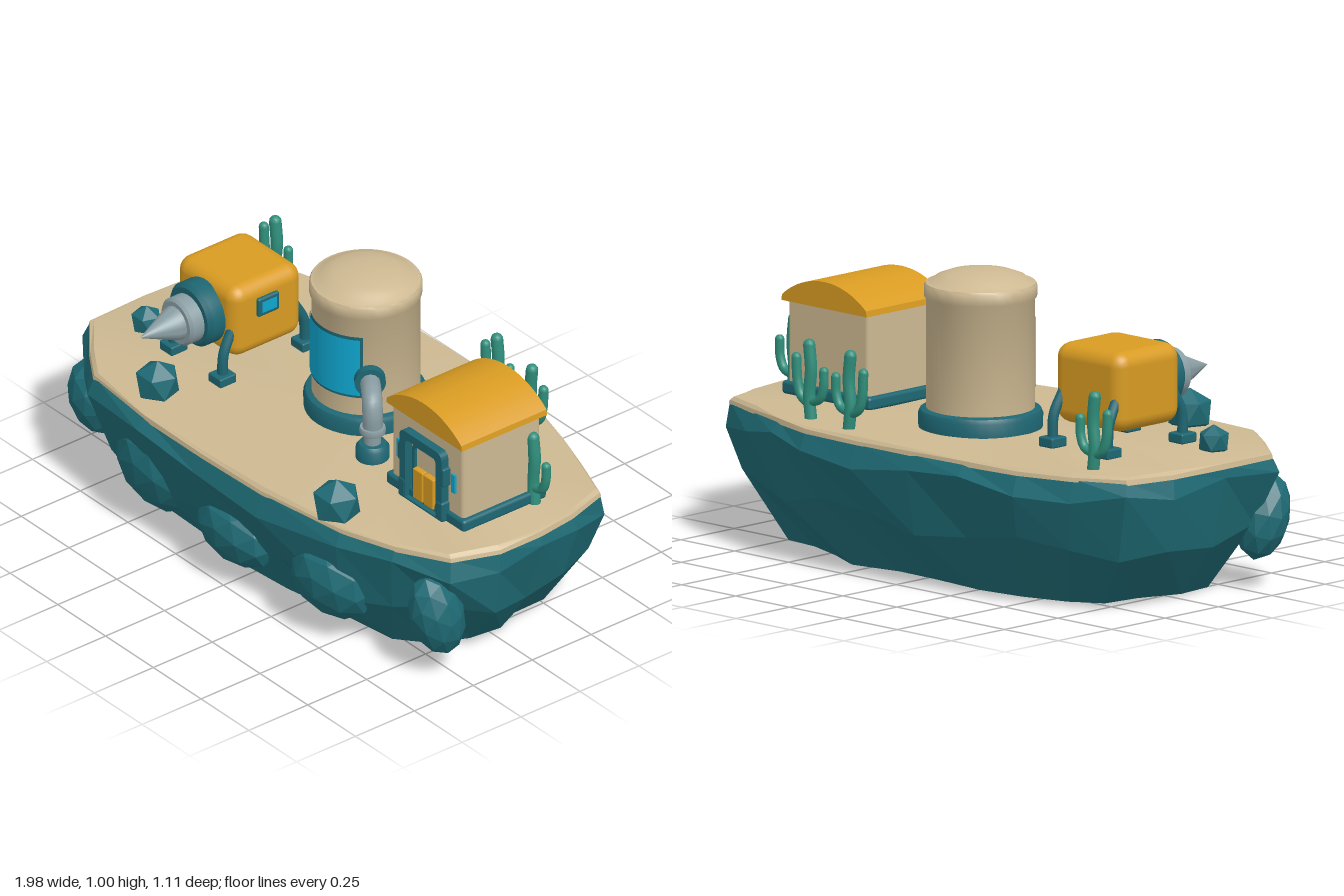
import * as THREE from 'three';
import { toCreasedNormals } from 'three/addons/utils/BufferGeometryUtils.js';
import { RoundedBoxGeometry } from 'three/addons/geometries/RoundedBoxGeometry.js';

const mat = (name, color, extra = {}) => Object.assign(new THREE.MeshStandardMaterial({ color, ...extra }), { name });

export function createModel() {
  const model = new THREE.Group();
  const rock = mat('rock teal', 0x1f6b75, { flatShading: true });
  const trim = mat('trim teal', 0x1d6672);
  const sand = mat('sand', 0xcdb992);
  const yellow = mat('roof yellow', 0xd89b22);
  const glass = mat('window cyan', 0x0fa6cf);
  const green = mat('cactus green', 0x2f8f7c);
  const metal = mat('metal grey', 0x8a9ea3);

  const group = (name, x = 0, y = 0, z = 0) => {
    const g = new THREE.Group();
    g.name = name;
    g.position.set(x, y, z);
    model.add(g);
    return g;
  };
  const add = (parent, name, geo, material, x = 0, y = 0, z = 0) => {
    const m = new THREE.Mesh(geo, material);
    m.name = name;
    m.position.set(x, y, z);
    parent.add(m);
    return m;
  };
  const lathe = (pts, n = 40) => toCreasedNormals(
    new THREE.LatheGeometry(pts.map(p => new THREE.Vector2(...p)), n), 0.7);
  const rbox = (w, h, d, r) => new RoundedBoxGeometry(w, h, d, 3, r);
  const tube = (pts, r, n = 20) => new THREE.TubeGeometry(
    new THREE.CatmullRomCurve3(pts.map(p => new THREE.Vector3(...p))), n, r, 12);

  // Island: closed rings around one plan outline
  const outline = [[-0.93, -0.36], [-0.76, -0.44], [-0.56, -0.5], [-0.33, -0.52], [-0.1, -0.53], [0.15, -0.53],
    [0.4, -0.52], [0.58, -0.47], [0.74, -0.42], [0.91, -0.36], [0.96, -0.2], [0.98, -0.05], [0.98, 0.12],
    [0.92, 0.28], [0.75, 0.38], [0.55, 0.45], [0.2, 0.5], [-0.1, 0.51], [-0.4, 0.51], [-0.7, 0.48],
    [-0.82, 0.4], [-0.97, 0.28], [-0.975, 0.05], [-0.97, -0.18]];
  const n = outline.length;
  const loft = (rings, topY, bottomY) => {
    const pos = [], index = [];
    rings.forEach(({ y, sx, sz, wob = 0, rad = 0 }, k) => outline.forEach(([x, z], i) => {
      const s = 1 + rad * Math.sin(i * 2.4 + k * 1.9);
      pos.push(x * sx * s, y + wob * Math.sin(i * 1.7 + k * 2.3), z * sz * s);
    }));
    for (let k = 0; k < rings.length - 1; k++) {
      for (let i = 0; i < n; i++) {
        const a = k * n + i, b = k * n + (i + 1) % n;
        index.push(a, b, a + n, b, b + n, a + n);
      }
    }
    const top = pos.length / 3, last = (rings.length - 1) * n;
    pos.push(0, topY, 0, 0, bottomY, 0);
    for (let i = 0; i < n; i++) {
      const j = (i + 1) % n;
      index.push(top, j, i, top + 1, last + i, last + j);
    }
    const g = new THREE.BufferGeometry();
    g.setAttribute('position', new THREE.Float32BufferAttribute(pos, 3));
    g.setIndex(index);
    return toCreasedNormals(g, 0.4);
  };
  const island = group('island');
  add(island, 'islandRock', loft([
    { y: 0.462, sx: 1, sz: 1 },
    { y: 0.4, sx: 1.012, sz: 1.055, wob: 0.025, rad: 0.008 },
    { y: 0.21, sx: 0.95, sz: 0.95, wob: 0.03, rad: 0.025 },
    { y: 0.005, sx: 0.79, sz: 0.71, wob: 0.005, rad: 0.03 },
  ], 0.455, 0.003), rock);
  add(island, 'sandTop', loft([
    { y: 0.476, sx: 0.985, sz: 0.985, wob: 0.003 },
    { y: 0.468, sx: 1, sz: 1.003, wob: 0.003 },
    { y: 0.452, sx: 1.004, sz: 1.008 },
  ], 0.474, 0.452), sand);

  // Boulders set into the front and the corners
  [[-0.88, 0.24, 0.33, 0.1, 0.15, 0.09, -0.6], [-0.43, 0.22, 0.43, 0.18, 0.165, 0.1, 0],
    [-0.01, 0.185, 0.43, 0.18, 0.13, 0.1, 0], [0.46, 0.215, 0.4, 0.17, 0.15, 0.11, 0.15],
    [0.87, 0.235, 0.3, 0.09, 0.16, 0.1, 0.5]].forEach(([x, y, z, a, b, c, turn]) => {
    const m = add(island, 'boulder', new THREE.IcosahedronGeometry(1, 1), rock, x, y, z);
    m.scale.set(a, b, c);
    m.rotation.set(0.3, turn, 0);
  });

  // Loose angular rocks standing on one point
  [[-0.81, 0.505, 0.17, 0.056], [-0.475, 0.52, 0.395, 0.08], [0.47, 0.515, 0.4, 0.087]].forEach(([x, y, z, r]) => {
    const g = new THREE.IcosahedronGeometry(r, 0).rotateZ(-0.5536);
    add(island, 'angularRock', g, rock, x, y, z).rotation.y = 0.3;
  });

  // Storage tower
  const tower = group('tower', 0.005, 0, -0.1);
  add(tower, 'towerBase', lathe([[0, 0.465], [0.205, 0.465], [0.207, 0.52], [0.2, 0.535], [0.188, 0.54], [0, 0.54]]), trim);
  add(tower, 'towerBody', lathe([[0.18, 0.5], [0.18, 0.905], [0.187, 0.915], [0.187, 0.952], [0.182, 0.96],
    [0.168, 0.963], [0.15, 0.978], [0.11, 0.993], [0.06, 1.002], [0, 1.005]]), sand);
  const band = (r, h, half) => new THREE.CylinderGeometry(r, r, h, 24, 1, true, -half, half * 2);
  add(tower, 'windowFrame', band(0.182, 0.235, 0.84), trim, 0, 0.725, 0);
  add(tower, 'windowGlass', band(0.185, 0.215, 0.79), glass, 0, 0.725, 0);

  // Pipe running out of the tower and down into the ground
  const pipe = group('pipe', 0.005, 0, -0.1);
  pipe.rotation.y = -Math.atan2(0.19, 0.27);
  add(pipe, 'elbowPipe', tube([[0.16, 0.69, 0], [0.22, 0.69, 0], [0.28, 0.69, 0], [0.315, 0.677, 0],
    [0.33, 0.64, 0], [0.33, 0.58, 0]], 0.034, 32), metal);
  add(pipe, 'lowerPipe', new THREE.CylinderGeometry(0.028, 0.028, 0.12, 20), metal, 0.33, 0.54, 0);
  add(pipe, 'pipeCollar', lathe([[0, 0.568], [0.042, 0.568], [0.045, 0.58], [0.042, 0.592], [0, 0.592]], 24), metal, 0.33, 0, 0);
  add(pipe, 'groundFlange', lathe([[0, 0.465], [0.056, 0.465], [0.056, 0.515], [0.045, 0.53], [0, 0.53]], 24), trim, 0.33, 0, 0);
  add(pipe, 'wallFlange', new THREE.CylinderGeometry(0.052, 0.052, 0.03, 24), trim, 0.205, 0.69, 0).rotation.z = Math.PI / 2;

  // Drilling machine
  const drill = group('drillMachine', -0.522, 0, 0.01);
  add(drill, 'machineBody', rbox(0.315, 0.27, 0.3, 0.05), yellow, 0, 0.685, 0);
  const along = pts => lathe(pts).rotateX(Math.PI / 2);
  add(drill, 'drillCollar', along([[0, 0.1], [0.1, 0.1], [0.113, 0.145], [0.113, 0.2], [0.1, 0.215], [0.08, 0.215], [0, 0.21]]), trim, 0, 0.685, 0);
  add(drill, 'drillHub', along([[0, 0.2], [0.074, 0.2], [0.084, 0.21], [0.084, 0.26], [0.075, 0.27], [0, 0.27]]), metal, 0, 0.68, 0);
  add(drill, 'drillBit', along([[0, 0.265], [0.06, 0.265], [0.055, 0.29], [0, 0.422]]), metal, 0, 0.68, 0);
  add(drill, 'sideWindowFrame', rbox(0.02, 0.07, 0.09, 0.008), trim, 0.16, 0.73, 0.01);
  add(drill, 'sideWindow', new THREE.BoxGeometry(0.008, 0.04, 0.06), glass, 0.168, 0.73, 0.01);
  for (const sx of [-1, 1]) {
    for (const sz of [-1, 1]) {
      add(drill, 'foot', rbox(0.066, 0.034, 0.07, 0.006), trim, sx * 0.128, 0.492, sz * 0.175);
      add(drill, 'leg', tube([[sx * 0.128, 0.49, sz * 0.175], [sx * 0.128, 0.58, sz * 0.17],
        [sx * 0.122, 0.66, sz * 0.13]], 0.018), trim);
    }
  }

  // House with an arched roof
  const house = group('house', 0.63, 0, -0.02);
  add(house, 'houseBase', rbox(0.41, 0.045, 0.355, 0.012), trim, 0, 0.495, 0);
  add(house, 'houseWalls', rbox(0.375, 0.33, 0.33, 0.015), sand, 0, 0.645, 0);
  const arch = new THREE.Shape();
  arch.moveTo(-0.198, 0.79);
  arch.lineTo(0.198, 0.79);
  arch.absarc(0, 0.574, 0.306, Math.PI / 2 - 0.69, Math.PI / 2 + 0.69, false);
  arch.closePath();
  add(house, 'roof', toCreasedNormals(new THREE.ExtrudeGeometry(arch,
    { depth: 0.362, bevelEnabled: false, curveSegments: 24 }), 0.6), yellow, 0, 0, -0.183);
  // Doorway frames: rounded arches cut from a plate
  const archPath = (P, w, y0, y1, r) => {
    const p = new P();
    p.moveTo(-w, y0);
    p.lineTo(w, y0);
    p.lineTo(w, y1 - r);
    p.quadraticCurveTo(w, y1, w - r, y1);
    p.lineTo(r - w, y1);
    p.quadraticCurveTo(-w, y1, -w, y1 - r);
    p.closePath();
    return p;
  };
  const frame = (w, y1, t, depth) => {
    const s = archPath(THREE.Shape, w, 0.48, y1, 0.03);
    s.holes.push(archPath(THREE.Path, w - t, 0.486, y1 - t, 0.015));
    return new THREE.ExtrudeGeometry(s, { depth, bevelEnabled: false });
  };
  add(house, 'outerDoorFrame', frame(0.11, 0.74, 0.03, 0.04), trim, 0, 0, 0.155);
  add(house, 'innerDoorFrame', frame(0.068, 0.7, 0.014, 0.02), trim, 0, 0, 0.155);
  for (const s of [-1, 1]) {
    add(house, 'doorPanel', rbox(0.05, 0.115, 0.03, 0.004), yellow, s * 0.028, 0.55, 0.17);
    add(house, 'framePost', rbox(0.036, 0.075, 0.045, 0.008), trim, s * 0.098, 0.515, 0.175);
    add(house, 'frameBracket', rbox(0.024, 0.07, 0.04, 0.006), trim, s * 0.108, 0.65, 0.175);
    add(house, 'wallLight', new THREE.BoxGeometry(0.02, 0.07, 0.009), glass, s * 0.142, 0.635, 0.168);
  }

  // Cacti: a trunk and two upturned arms with round tips
  const limb = (parent, name, pts, r) => {
    add(parent, name, tube(pts, r), green);
    add(parent, name + 'Tip', new THREE.SphereGeometry(r, 12, 8), green, ...pts[pts.length - 1]);
  };
  [[-0.745, -0.33, -1], [0.28, -0.44, -1], [0.485, -0.41, 1], [0.83, -0.148, -1]].forEach(([x, z, s]) => {
    const c = group('cactus', x, 0.47, z);
    limb(c, 'trunk', [[0, 0, 0], [s * 0.008, 0.08, 0], [0, 0.17, 0], [s * 0.008, 0.25, 0]], 0.021);
    limb(c, 'longArm', [[0, 0.05, 0], [s * 0.045, 0.075, 0], [s * 0.062, 0.12, 0], [s * 0.068, 0.2, 0]], 0.017);
    limb(c, 'shortArm', [[0, 0.06, 0], [-s * 0.04, 0.075, 0], [-s * 0.058, 0.115, 0], [-s * 0.06, 0.17, 0]], 0.016);
  });

  return model;
}
